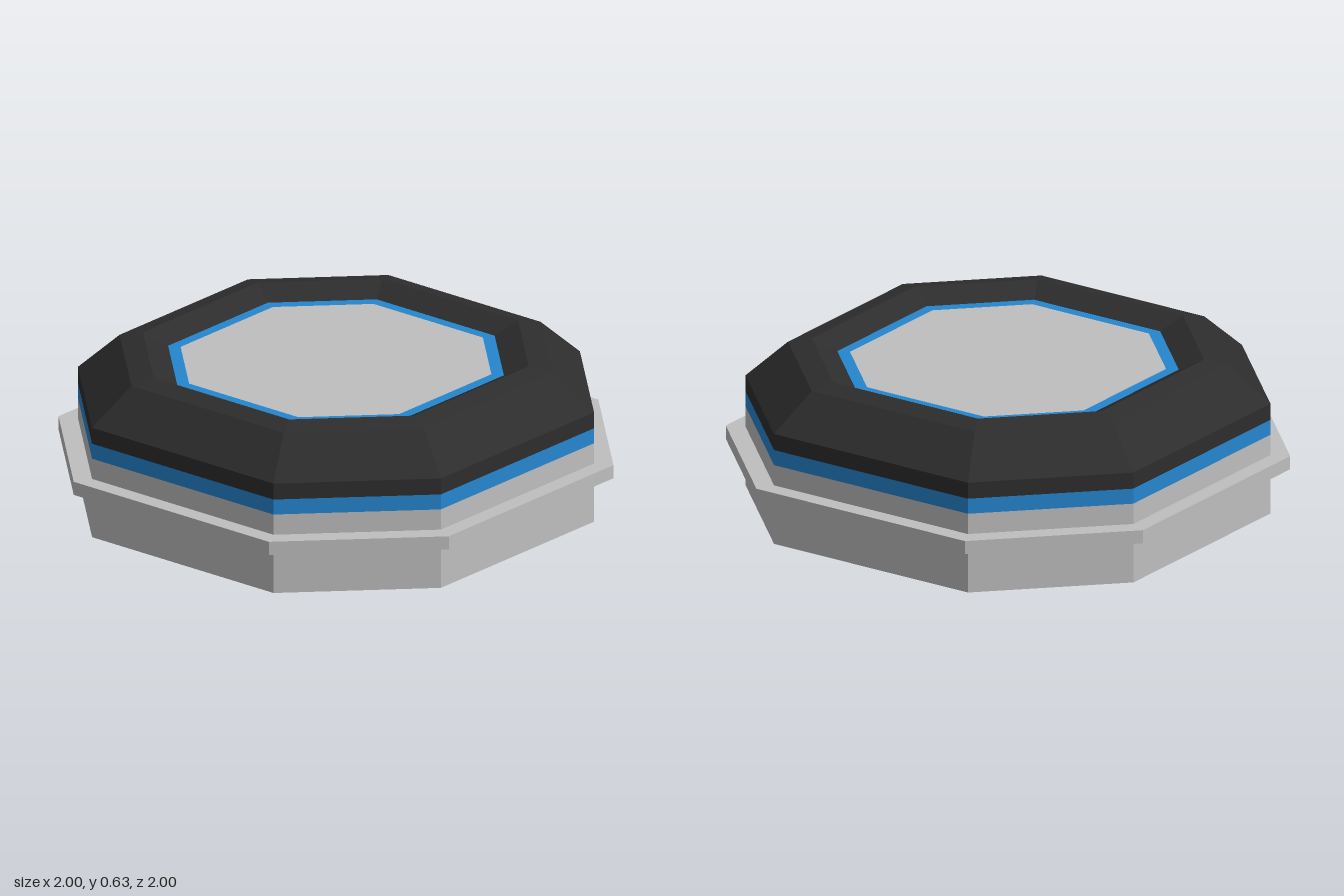
import * as THREE from 'three';

const grey = new THREE.MeshStandardMaterial({ color: 0xbebebe });
const blue = new THREE.MeshStandardMaterial({ color: 0x2585cf });
const black = new THREE.MeshStandardMaterial({ color: 0x2d2d2d });
grey.name = 'light grey';
blue.name = 'blue';
black.name = 'charcoal';

// Octagon corners for a half width of 1: long sides on the diagonals
const CORNERS = [[1, 0.5], [0.5, 1], [-0.5, 1], [-1, 0.5], [-1, -0.5], [-0.5, -1], [0.5, -1], [1, -0.5]];

// Sweeps a profile of [half width, height] points round the octagon with flat faces
function octagonBand(name, material, profile) {
  const positions = [];
  for (let p = 0; p < profile.length - 1; p++) {
    const [r0, y0] = profile[p];
    const [r1, y1] = profile[p + 1];
    CORNERS.forEach(([ax, az], i) => {
      const [bx, bz] = CORNERS[(i + 1) % CORNERS.length];
      const a = [ax * r0, y0, az * r0];
      const b = [bx * r0, y0, bz * r0];
      const c = [bx * r1, y1, bz * r1];
      const d = [ax * r1, y1, az * r1];
      if (r1 > 0) positions.push(...a, ...d, ...c);
      if (r0 > 0) positions.push(...a, ...c, ...b);
    });
  }
  const geometry = new THREE.BufferGeometry();
  geometry.setAttribute('position', new THREE.Float32BufferAttribute(positions, 3));
  geometry.computeVertexNormals();
  const mesh = new THREE.Mesh(geometry, material);
  mesh.name = name;
  return mesh;
}

export function createModel() {
  const model = new THREE.Group();
  model.name = 'octagonalPad';
  model.add(
    // Body with closed underside
    octagonBand('base', grey, [[0, 0], [0.93, 0], [0.93, 0.33]]),
    // Thin plate projecting round the body
    octagonBand('flange', grey, [[0.93, 0.19], [1, 0.19], [1, 0.245], [0.93, 0.245]]),
    octagonBand('sideStripe', blue, [[0.93, 0.33], [0.93, 0.393]]),
    // Bevelled rim that dips inward to the recessed top
    octagonBand('rim', black, [[0.93, 0.393], [0.93, 0.46], [0.78, 0.61], [0.695, 0.63], [0.605, 0.582]]),
    octagonBand('topBorder', blue, [[0.605, 0.582], [0.56, 0.582]]),
    octagonBand('topPanel', grey, [[0.56, 0.582], [0, 0.582]]),
  );
  return model;
}
